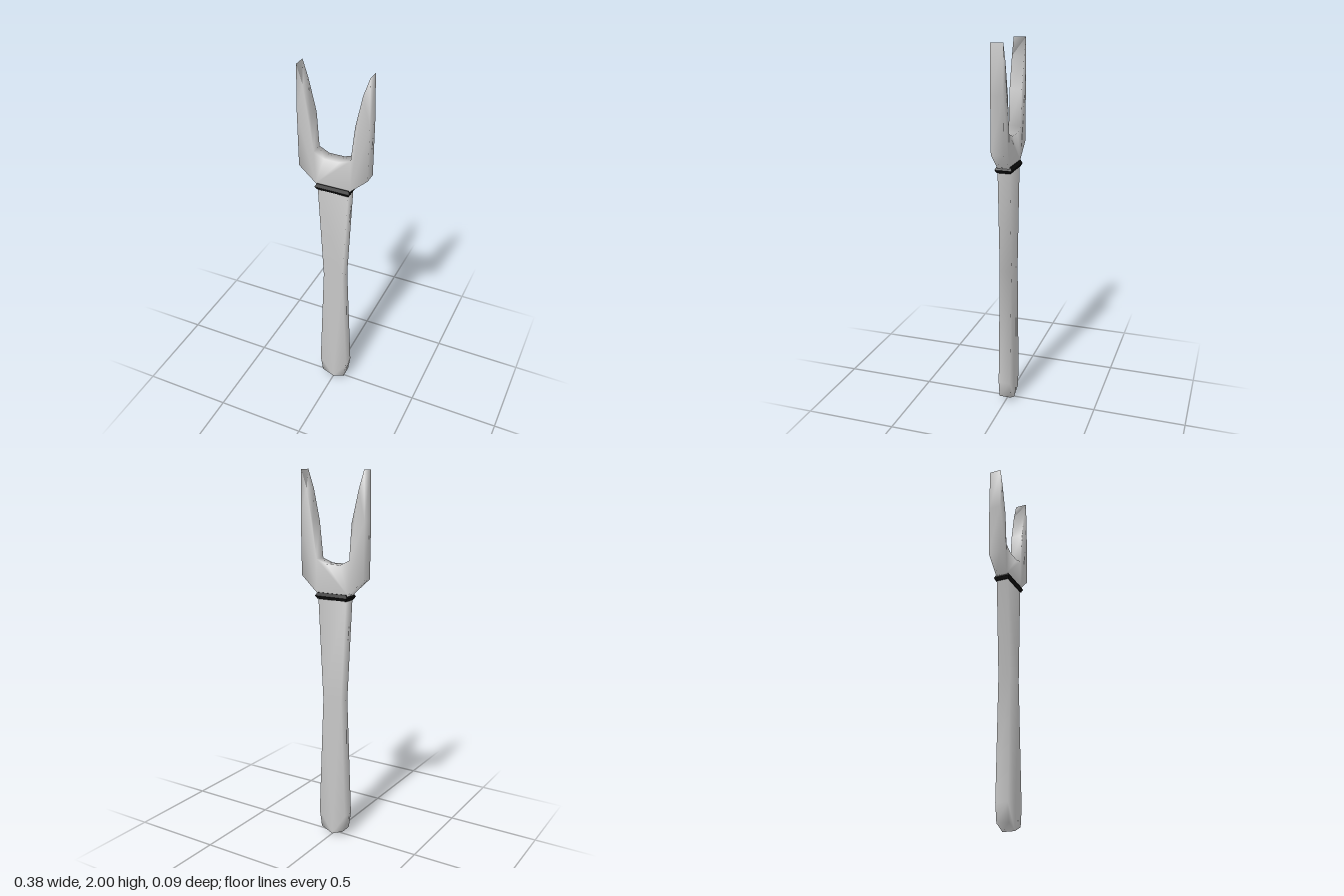
import * as THREE from 'three';
import { mergeVertices } from 'three/addons/utils/BufferGeometryUtils.js';

const DEPTH = 0.066;

// Flat plate cut from an outline, with normals blended over its edges
function plate(name, outline, material) {
  const shape = new THREE.Shape(outline.map(([x, y]) => new THREE.Vector2(x, y)));
  let geometry = new THREE.ExtrudeGeometry(shape, { depth: DEPTH, bevelEnabled: false });
  geometry.translate(0, 0, -DEPTH / 2);
  geometry.deleteAttribute('normal');
  geometry.deleteAttribute('uv');
  geometry = mergeVertices(geometry, 1e-4);
  geometry.computeVertexNormals();
  const mesh = new THREE.Mesh(geometry, material);
  mesh.name = name;
  return mesh;
}

export function createModel() {
  const model = new THREE.Group();
  model.name = 'fork';
  const grey = new THREE.MeshStandardMaterial({ color: 0xcccccc });
  const black = new THREE.MeshStandardMaterial({ color: 0x0c0c0c, flatShading: true });

  // Waisted handle with a rounded butt
  const handleSide = [[0.069, 0.03], [0.083, 0.125], [0.056, 0.79], [0.085, 1.36]];
  model.add(plate('handle', [
    [0, 0], ...handleSide,
    ...handleSide.map(([x, y]) => [-x, y]).reverse(),
  ], grey));

  // Two-pronged head, slightly uneven in the notch
  model.add(plate('forkHead', [
    [-0.09, 1.36], [0.09, 1.36], [0.095, 1.373], [0.187, 1.457], [0.19, 1.75], [0.185, 2],
    [0.152, 1.905], [0.116, 1.74], [0.095, 1.548], [0.035, 1.526],
    [-0.048, 1.526], [-0.103, 1.553], [-0.116, 1.74], [-0.155, 1.905], [-0.185, 2],
    [-0.19, 1.75], [-0.187, 1.457], [-0.095, 1.373],
  ], grey));

  // Collar band, chamfered above and below its middle
  const band = new THREE.BoxGeometry(0.194, 0.034, 0.092, 1, 2, 1);
  const p = band.attributes.position;
  for (let i = 0; i < p.count; i++) {
    if (Math.abs(p.getY(i)) > 0.01) {
      p.setX(i, p.getX(i) - Math.sign(p.getX(i)) * 0.009);
      p.setZ(i, p.getZ(i) - Math.sign(p.getZ(i)) * 0.009);
    }
  }
  band.computeVertexNormals();
  const collar = new THREE.Mesh(band, black);
  collar.name = 'collar';
  collar.position.y = 1.358;
  model.add(collar);

  return model;
}
